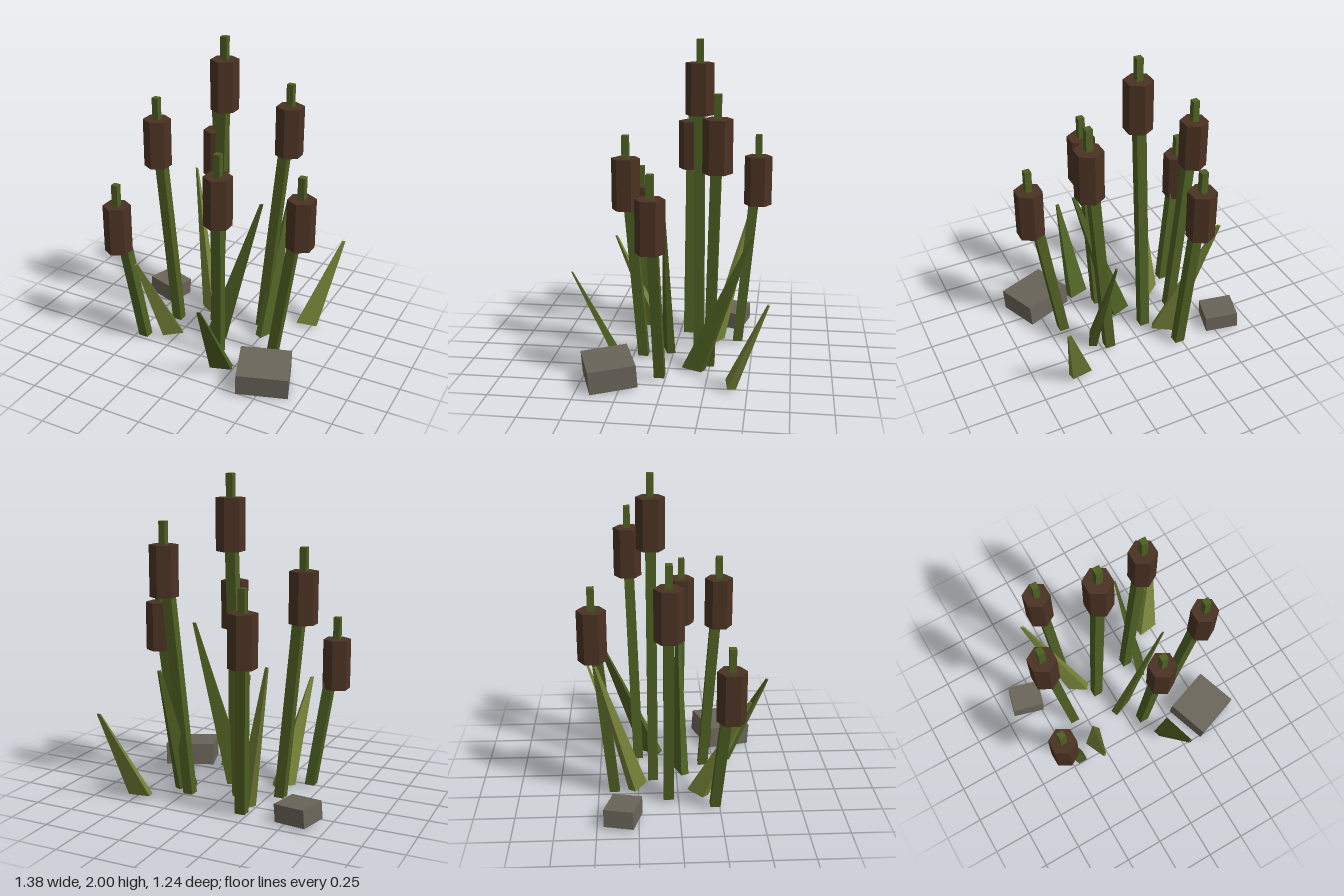
import * as THREE from 'three';

const mat = (name, color) => {
  const m = new THREE.MeshStandardMaterial({ color });
  m.name = name;
  return m;
};

// Four-sided prism leaning from a level base to a level top; sizes are [width, depth]
function leaningPrism(base, top, baseSize, topSize, yaw = 0) {
  const geo = new THREE.BoxGeometry(1, 1, 1).toNonIndexed();
  const pos = geo.attributes.position;
  const up = new THREE.Vector3(0, 1, 0);
  const v = new THREE.Vector3();
  for (let i = 0; i < pos.count; i++) {
    const isTop = pos.getY(i) > 0;
    const size = isTop ? topSize : baseSize;
    v.set(pos.getX(i) * size[0], 0, pos.getZ(i) * size[1]).applyAxisAngle(up, yaw);
    v.add(isTop ? top : base);
    pos.setXYZ(i, v.x, v.y, v.z);
  }
  geo.computeVertexNormals();
  return geo;
}

export function createModel() {
  const model = new THREE.Group();
  model.name = 'cattails';
  const stemGreen = mat('stemGreen', 0x4d5f22);
  const leafOlive = mat('leafOlive', 0x758238);
  const headBrown = mat('headBrown', 0x4a3222);
  const stoneGrey = mat('stoneGrey', 0x6a655a);

  const add = (parent, name, geo, material) => {
    const mesh = new THREE.Mesh(geo, material);
    mesh.name = name;
    parent.add(mesh);
    return mesh;
  };
  const GROUND = 0.02;
  const HEAD_H = 0.315;
  const headGeo = new THREE.CylinderGeometry(0.088, 0.088, HEAD_H, 6).toNonIndexed();
  headGeo.computeVertexNormals();
  const spikeGeo = new THREE.BoxGeometry(0.042, 0.14, 0.042);

  // Cattails: head x, head z, base x, base z, top of head
  const cattails = [
    [-0.28, -0.51, -0.225, -0.4, 1.25],
    [-0.468, -0.0625, -0.335, -0.0625, 1.44],
    [-0.037, -0.155, -0.093, -0.155, 1.86],
    [0.338, -0.297, 0.203, -0.248, 1.58],
    [-0.56, 0.295, -0.43, 0.22, 0.97],
    [0.14, 0.275, 0.093, 0.179, 1.3],
    [0.58, 0.06, 0.41, 0.032, 1.16],
  ];
  for (const [hx, hz, bx, bz, top] of cattails) {
    const plant = new THREE.Group();
    plant.name = 'cattail';
    model.add(plant);
    const stem = leaningPrism(
      new THREE.Vector3(bx, GROUND, bz),
      new THREE.Vector3(hx, top - 0.02, hz),
      [0.063, 0.063], [0.063, 0.063]);
    add(plant, 'stem', stem, stemGreen);
    add(plant, 'seedHead', headGeo, headBrown).position.set(hx, top - HEAD_H / 2, hz);
    add(plant, 'spike', spikeGeo, stemGreen).position.set(hx, top + 0.07, hz);
  }

  // Leaves: base x, base z, tip x, tip y, tip z, blade direction dx, dz, material
  const leaves = [
    [-0.1875, -0.254, -0.42, 0.95, -0.49, 32, 20, leafOlive],
    [0.472, -0.4, 0.621, 0.58, -0.615, 40, -6, leafOlive],
    [-0.281, 0.123, -0.347, 0.67, 0.43, 28, -24, leafOlive],
    [0, 0.03, 0.305, 1.05, 0.022, 34, -13, stemGreen],
    [0.187, 0.318, 0.188, 0.58, 0.61, 35, -11, stemGreen],
    [0.276, -0.158, 0.265, 0.86, -0.5, 16, -34, stemGreen],
  ];
  for (const [bx, bz, tx, ty, tz, dx, dz, material] of leaves) {
    const blade = leaningPrism(
      new THREE.Vector3(bx, GROUND, bz),
      new THREE.Vector3(tx, ty, tz),
      [0.138, 0.051], [0.022, 0.01], Math.atan2(-dz, dx));
    add(model, 'leaf', blade, material);
  }

  // Tilted stones
  const stone = (name, size, position, tilt) => {
    const mesh = add(model, name, new THREE.BoxGeometry(...size), stoneGrey);
    mesh.position.set(...position);
    mesh.rotation.set(...tilt, 'YXZ');
  };
  stone('largeStone', [0.32, 0.14, 0.286], [0.487, 0.084, 0.33], [0.08, 0.34, -0.02]);
  stone('smallStone', [0.213, 0.112, 0.183], [-0.5625, 0.068, -0.344], [-0.03, -0.262, -0.07]);

  return model;
}
